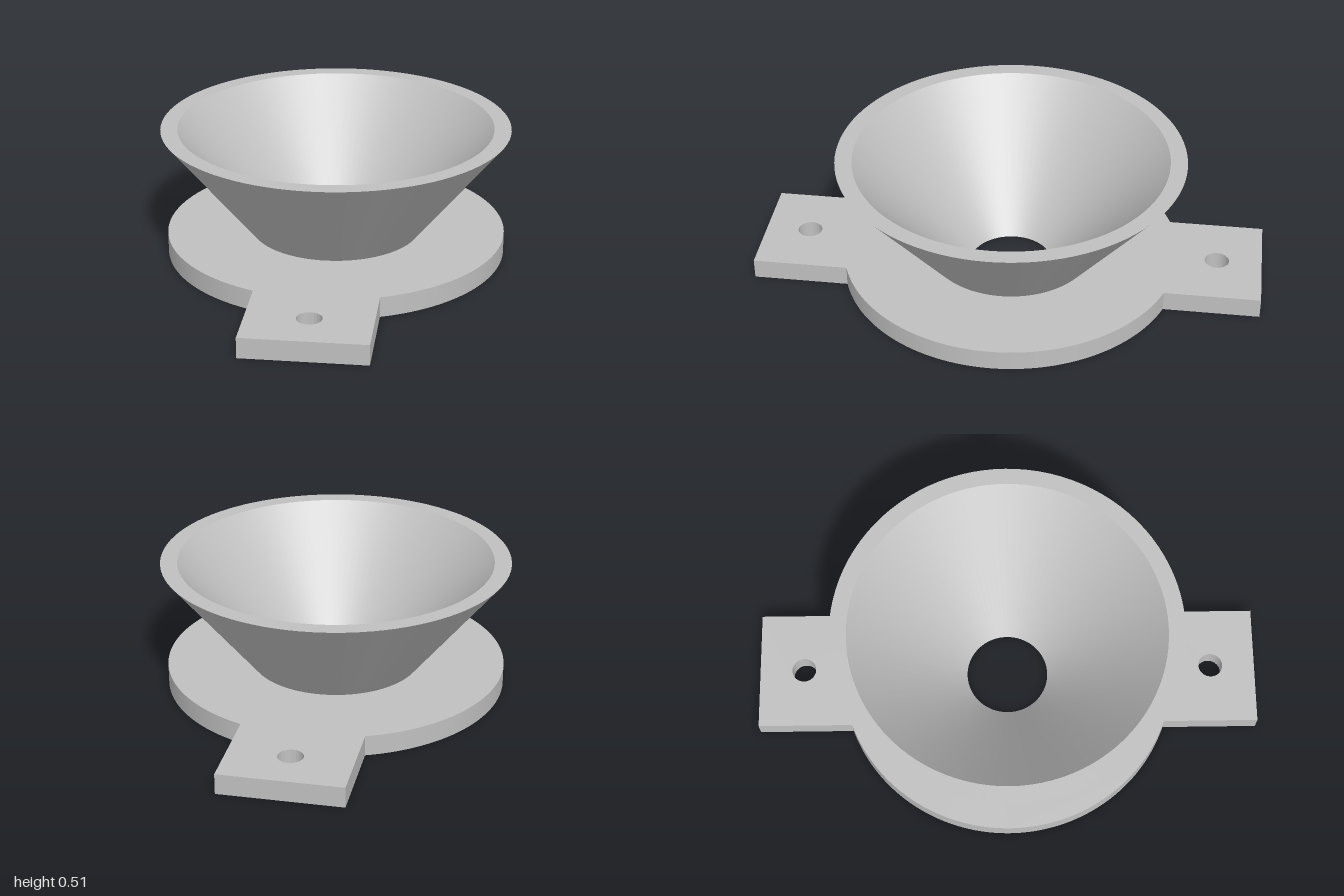
import * as THREE from 'three';
import { mergeGeometries, toCreasedNormals } from 'three/addons/utils/BufferGeometryUtils.js';

const SEGMENTS = 96;
const PLATE_RADIUS = 0.668, PLATE_HEIGHT = 0.08;
const TAB_HALF_WIDTH = 0.235, TAB_END = 1;
const BOLT_RADIUS = 0.048, BOLT_OFFSET = 0.823;
const NECK_RADIUS = 0.335, THROAT_RADIUS = 0.163;

function circleHole(x, y, radius) {
  return new THREE.Path().absarc(x, y, radius, 0, Math.PI * 2, true);
}

// Round flange with a drilled mounting tab at each end
function plateGeometry() {
  const a = Math.acos(TAB_HALF_WIDTH / PLATE_RADIUS);
  const shape = new THREE.Shape();
  shape.absarc(0, 0, PLATE_RADIUS, -a, a, false);
  shape.lineTo(TAB_HALF_WIDTH, TAB_END);
  shape.lineTo(-TAB_HALF_WIDTH, TAB_END);
  shape.absarc(0, 0, PLATE_RADIUS, Math.PI - a, Math.PI + a, false);
  shape.lineTo(-TAB_HALF_WIDTH, -TAB_END);
  shape.lineTo(TAB_HALF_WIDTH, -TAB_END);
  shape.closePath();
  shape.holes.push(
    circleHole(0, 0, NECK_RADIUS),
    circleHole(0, BOLT_OFFSET, BOLT_RADIUS),
    circleHole(0, -BOLT_OFFSET, BOLT_RADIUS)
  );
  const geometry = new THREE.ExtrudeGeometry(shape, {
    depth: PLATE_HEIGHT, bevelEnabled: false, curveSegments: SEGMENTS
  });
  geometry.rotateX(-Math.PI / 2);
  return toCreasedNormals(geometry, 0.5);
}

// Funnel ring: one lathe per profile edge keeps the rims sharp
function funnelGeometry() {
  const profile = [
    [THROAT_RADIUS, 0], [NECK_RADIUS, 0], [NECK_RADIUS, PLATE_HEIGHT],
    [0.683, 0.51], [0.617, 0.51], [THROAT_RADIUS, 0]
  ].map(([r, y]) => new THREE.Vector2(r, y));
  const bands = [];
  for (let i = 0; i < profile.length - 1; i++) {
    bands.push(new THREE.LatheGeometry([profile[i], profile[i + 1]], SEGMENTS));
  }
  return mergeGeometries(bands);
}

export function createModel() {
  const model = new THREE.Group();
  model.name = 'flangedFunnel';
  const grey = new THREE.MeshStandardMaterial({ color: 0xc0c0c0 });
  grey.name = 'light grey';

  const plate = new THREE.Mesh(plateGeometry(), grey);
  plate.name = 'mountingPlate';
  const funnel = new THREE.Mesh(funnelGeometry(), grey);
  funnel.name = 'funnel';
  model.add(plate, funnel);
  return model;
}
